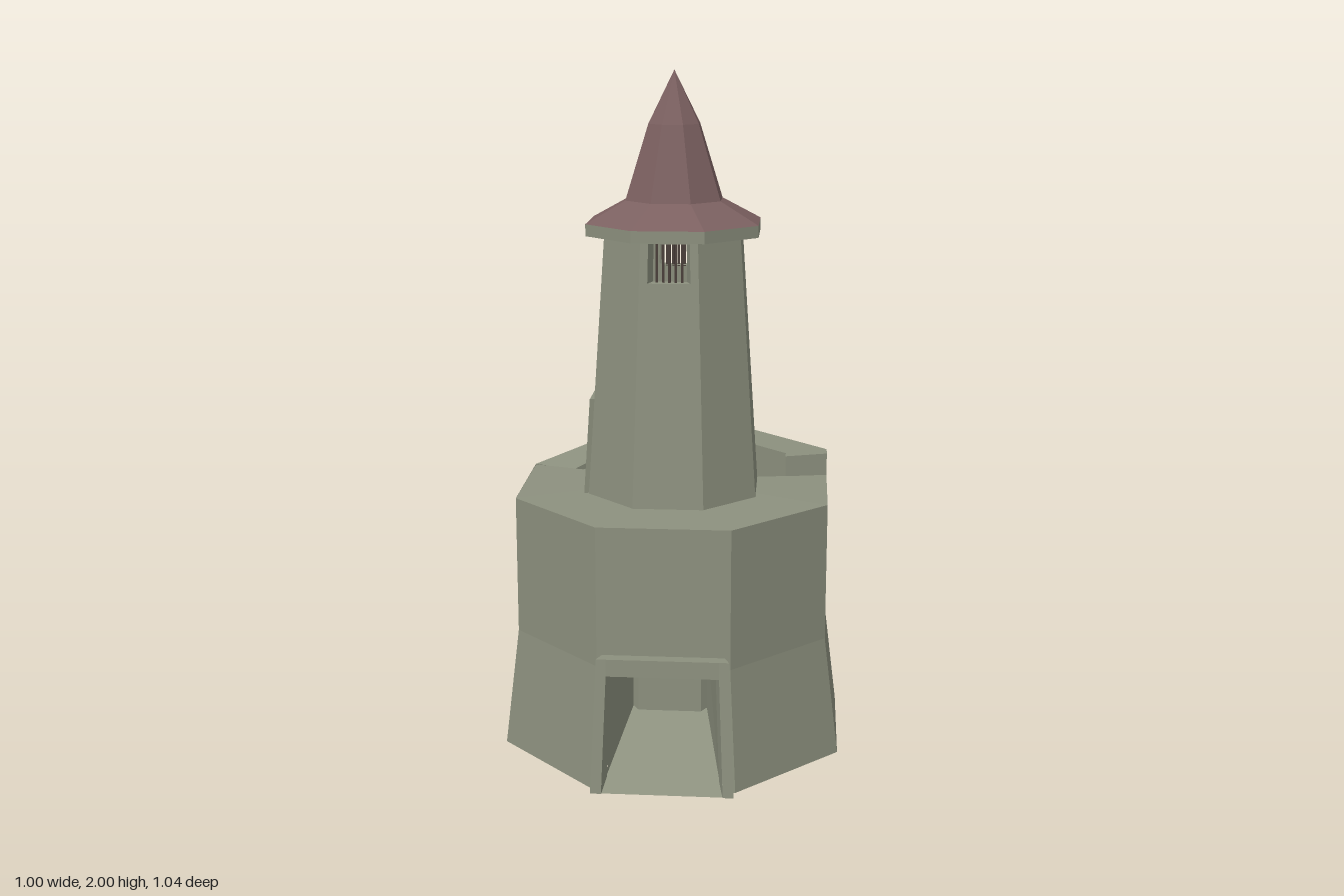
import * as THREE from 'three';

const flat = (color, name) => {
  const m = new THREE.MeshStandardMaterial({ color, flatShading: true, side: THREE.DoubleSide });
  m.name = name;
  return m;
};
const T = Math.tan(Math.PI / 8), C = Math.cos(Math.PI / 8);
const lerp = THREE.MathUtils.lerp;

// Point on side k of an octagon (0 = front, 2 = +x); s runs -1..1 across the side
function oct(ap, cz, k, s, y) {
  const a = k * Math.PI / 4, u = s * ap * T;
  return [Math.sin(a) * ap + Math.cos(a) * u, y, Math.cos(a) * ap - Math.sin(a) * u + cz];
}
// Battered lower wall, then upright
const basePt = (k, s, y, off = 0) => {
  const t = Math.min(y / 0.36, 1);
  return oct(lerp(0.5, 0.456, t) + off, lerp(-0.022, -0.006, t), k, s, y);
};
// Tapering tower wall
const towerPt = (k, s, y, off = 0) => oct(0.245 - (y - 0.78) * 0.066 + off, 0.04, k, s, y);

// Mesh from a list of four-cornered faces
function faces(name, quads, mat) {
  const pos = [];
  for (const [a, b, c, d] of quads) pos.push(...a, ...b, ...c, ...a, ...c, ...d);
  const g = new THREE.BufferGeometry();
  g.setAttribute('position', new THREE.Float32BufferAttribute(pos, 3));
  g.computeVertexNormals();
  const m = new THREE.Mesh(g, mat);
  m.name = name;
  return m;
}
const panel = (P, k, s0, s1, y0, y1, off = 0) =>
  [P(k, s0, y0, off), P(k, s1, y0, off), P(k, s1, y1, off), P(k, s0, y1, off)];

// Side panel with an opening h = [s0, s1, y0, y1]
function holed(P, k, s0, s1, y0, y1, h, off = 0) {
  const out = [
    panel(P, k, s0, h[0], y0, y1, off), panel(P, k, h[1], s1, y0, y1, off),
    panel(P, k, h[0], h[1], h[3], y1, off),
  ];
  if (h[2] > y0) out.push(panel(P, k, h[0], h[1], y0, h[2], off));
  return out;
}
// Faces joining the edges of a rectangle at two depths (no bottom if open)
function edges(P, k, [s0, s1, y0, y1], from, to, open) {
  const c = [[s0, y0], [s0, y1], [s1, y1], [s1, y0]], out = [];
  for (let i = 0; i < (open ? 3 : 4); i++) {
    const a = c[i], b = c[(i + 1) % 4];
    out.push([P(k, ...a, from), P(k, ...b, from), P(k, ...b, to), P(k, ...a, to)]);
  }
  return out;
}
const frame = (P, k, o, h, d, inner, open) => [
  ...holed(P, k, ...o, h, d), ...edges(P, k, o, 0, d, open), ...edges(P, k, h, inner, d, open),
];

export function createModel() {
  const root = new THREE.Group();
  const stone = flat(0x8c907e, 'stone');
  const roofMat = flat(0x7b6060, 'roof tile');
  const iron = flat(0x4a3f3a, 'iron');
  const add = (m) => { root.add(m); return m; };
  const prism = (name, ap, y0, y1, z, mat) => {
    const g = new THREE.CylinderGeometry(ap / C, ap / C, y1 - y0, 8).rotateY(Math.PI / 8);
    const m = new THREE.Mesh(g, mat);
    m.position.set(0, (y0 + y1) / 2, z);
    m.name = name;
    return add(m);
  };

  // Height of the rim and of the sunken ramp at each corner (corner k follows side k)
  const rim = [0.77, 0.77, 0.838, 0.838, 0.83, 0.772, 0.77, 0.77];
  const ramp = { 2: 0.68, 3: 0.70, 4: 0.75, 5: 0.768 };
  const STEP = 0.72;
  const door = [-0.78, 0.78, 0, 0.345];

  // Outer wall
  const wall = [];
  for (let k = 0; k < 8; k++) {
    const foot = (j) => (j === 3 || j === 4 ? 0.04 : 0);
    const y0 = rim[(k + 7) % 8], y1 = rim[k];
    if (k === 0) wall.push(...holed(basePt, 0, -1, 1, 0, 0.36, door));
    else {
      const a = basePt(k, -1, 0), b = basePt(k, 1, 0);
      a[1] = foot(k - 1); b[1] = foot(k);
      wall.push([a, b, basePt(k, 1, 0.36), basePt(k, -1, 0.36)]);
    }
    if (k === 2) {
      wall.push(panel(basePt, k, -1, STEP, 0.36, y0), panel(basePt, k, STEP, 1, 0.36, y1));
    } else {
      wall.push([basePt(k, -1, 0.36), basePt(k, 1, 0.36), basePt(k, 1, y1), basePt(k, -1, y0)]);
    }
  }
  add(faces('outerWall', wall, stone));

  // Deck around the front, rim and sunken ramp around the back
  const deck = [], rampQuads = [];
  const inner = (k, s, y) => oct(0.33, 0, k, s, y);
  const core = (k, s, y) => oct(0.2, 0, k, s, y);
  const trough = (k, s0, r0, r1, f0, f1) => {
    deck.push([basePt(k, s0, r0), basePt(k, 1, r1), inner(k, 1, r1), inner(k, s0, r0)]);
    rampQuads.push([inner(k, s0, r0), inner(k, 1, r1), inner(k, 1, f1), inner(k, s0, f0)]);
    rampQuads.push([inner(k, s0, f0), inner(k, 1, f1), core(k, 1, f1), core(k, s0, f0)]);
  };
  for (const k of [0, 1, 2, 6, 7]) {
    const e = k === 2 ? STEP : 1;
    deck.push([basePt(k, -1, 0.77), basePt(k, e, 0.77), core(k, e, 0.78), core(k, -1, 0.78)]);
  }
  trough(2, STEP, rim[2], rim[2], ramp[2], ramp[2]);
  for (const k of [3, 4, 5]) trough(k, -1, rim[k - 1], rim[k], ramp[k - 1], ramp[k]);
  // Step between deck and raised rim
  deck.push([basePt(2, STEP, 0.77), basePt(2, STEP, 0.838), inner(2, STEP, 0.838), inner(2, STEP, 0.77)]);
  rampQuads.push([inner(2, STEP, 0.77), core(2, STEP, 0.78), core(2, STEP, 0.68), inner(2, STEP, 0.68)]);
  add(faces('deck', deck, stone));
  add(faces('stairRamp', rampQuads, stone));

  // Central core, its top being the tower floor
  prism('core', 0.225, 0.1, 0.775, 0, stone);

  // Gate frame and passage
  add(faces('gateFrame', frame(basePt, 0, [-0.92, 0.92, 0, 0.395], door, 0.035, 0, true), stone));
  const passage = [[[-0.2, 0, 0.51], [0.2, 0, 0.51], [0.16, 0.04, 0.47], [-0.16, 0.04, 0.47]],
    [[-0.16, 0.04, 0.47], [0.16, 0.04, 0.47], [0.11, 0.14, 0.21], [-0.11, 0.14, 0.21]],
    [[-0.15, 0.345, 0.45], [0.15, 0.345, 0.45], [0.11, 0.345, 0.21], [-0.11, 0.345, 0.21]]];
  for (const s of [-1, 1]) {
    passage.push([[s * 0.16, 0.04, 0.47], [s * 0.15, 0.345, 0.45], [s * 0.11, 0.345, 0.21], [s * 0.11, 0.14, 0.21]]);
  }
  add(faces('gatePassage', passage, stone));

  // Tower with a doorway and two barred windows
  const win = [-0.72, 0.72, 1.42, 1.53], tDoor = [-0.65, 0.65, 0.8, 1.02];
  const tower = [];
  for (let k = 0; k < 8; k++) {
    const window = k === 0 || k === 4;
    if (window) tower.push(...holed(towerPt, k, -1, 1, 0.67, 1.545, win), ...edges(towerPt, k, win, 0, -0.04));
    else if (k === 6) tower.push(...holed(towerPt, k, -1, 1, 0.67, 1.545, tDoor));
    else tower.push(panel(towerPt, k, -1, 1, 0.67, 1.545));
  }
  add(faces('tower', tower, stone));
  add(faces('towerDoorFrame', frame(towerPt, 6, [-0.92, 0.92, 0.77, 1.06], tDoor, 0.014, -0.02), stone));

  // Window bars
  for (const k of [0, 4]) {
    for (let i = 0; i < 5; i++) {
      const bar = new THREE.Mesh(new THREE.BoxGeometry(0.007, 0.12, 0.007), iron);
      bar.position.set(...towerPt(k, -0.48 + i * 0.24, 1.475, -0.02));
      bar.name = 'windowBar';
      add(bar);
    }
  }

  // Eaves slab and spire
  prism('eaves', 0.246, 1.538, 1.572, 0.04, stone);
  const profile = [[0.246, 1.572], [0.136, 1.635], [0.072, 1.85], [0, 2]]
    .map(([r, y]) => new THREE.Vector2(r / C, y));
  const roof = new THREE.Mesh(new THREE.LatheGeometry(profile, 8, Math.PI / 8), roofMat);
  roof.position.z = 0.04;
  roof.name = 'spire';
  add(roof);

  return root;
}
